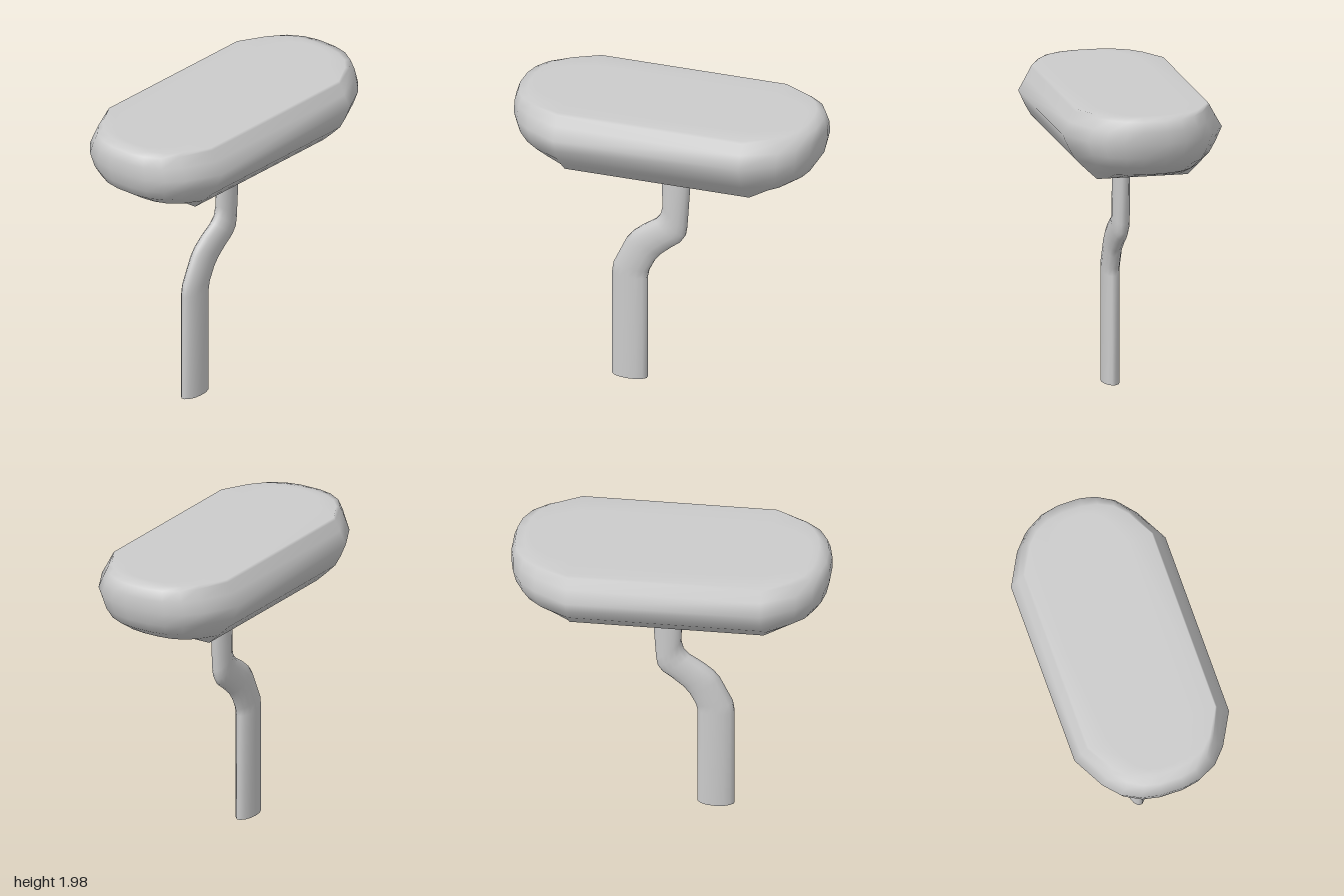
import * as THREE from 'three';

const material = new THREE.MeshStandardMaterial({ color: 0xcccccc });

// Skins rings stacked upwards (each ordered from +x towards +z) and closes both ends.
function loft(name, rings) {
  const n = rings[0].length;
  const points = rings.flat();
  const index = [];
  for (let l = 0; l < rings.length - 1; l++) {
    for (let i = 0; i < n; i++) {
      const a = l * n + i, b = l * n + (i + 1) % n;
      index.push(a, a + n, b, b, a + n, b + n);
    }
  }
  // End caps have their own vertices, so their rims stay sharp
  for (const [ring, up] of [[rings[0], false], [rings[rings.length - 1], true]]) {
    const centre = new THREE.Vector3();
    ring.forEach((p) => centre.addScaledVector(p, 1 / n));
    const start = points.length;
    points.push(...ring, centre);
    for (let i = 0; i < n; i++) {
      const a = start + i, b = start + (i + 1) % n;
      index.push(start + n, up ? b : a, up ? a : b);
    }
  }
  const geometry = new THREE.BufferGeometry().setFromPoints(points);
  geometry.setIndex(index);
  geometry.computeVertexNormals();
  const mesh = new THREE.Mesh(geometry, material);
  mesh.name = name;
  return mesh;
}

// Long outline with straight sides and rounded ends
function headRing([y, width, length]) {
  const straight = Math.min(0.61, length);
  const quarter = [[1, 0], [0.78, 0.54], [0.61, 0.79], [0.39, 0.94], [0.16, 1]]
    .map(([x, k]) => [x * width, straight + (length - straight) * k]);
  const half = [...quarter, ...quarter.map(([x, z]) => [-x, z]).reverse()];
  return [...half, ...half.map(([x, z]) => [-x, -z])]
    .map(([x, z]) => new THREE.Vector3(x, y, z));
}

// Elliptical section spanning a front and a back point
function stemRing([frontZ, frontY, backZ, backY]) {
  const sides = 14;
  return Array.from({ length: sides }, (_, i) => {
    const t = (i / sides) * Math.PI * 2;
    const k = (1 + Math.sin(t)) / 2;
    return new THREE.Vector3(
      0.055 * Math.cos(t),
      THREE.MathUtils.lerp(backY, frontY, k),
      THREE.MathUtils.lerp(backZ, frontZ, k)
    );
  });
}

export function createModel() {
  const group = new THREE.Group();

  // Head: height, half width, half length
  group.add(loft('head', [
    [1.525, 0.29, 0.61],
    [1.59, 0.36, 0.83],
    [1.66, 0.43, 0.935],
    [1.73, 0.47, 0.98],
    [1.82, 0.51, 1.0],
    [1.9, 0.465, 1.0],
    [1.965, 0.43, 0.98],
    [1.98, 0.42, 0.92],
    [1.98, 0.27, 0.88],
  ].map(headRing)));

  // Stem with an S-bend: front z, front y, back z, back y
  group.add(loft('stem', [
    [0.395, 0, 0.16, 0],
    [0.395, 0.71, 0.16, 0.7],
    [0.385, 0.78, 0.15, 0.75],
    [0.3, 0.96, 0.11, 0.83],
    [0.26, 1.01, 0.07, 0.88],
    [0.2, 1.06, 0, 0.94],
    [0.11, 1.12, -0.06, 0.985],
    [0.075, 1.16, -0.09, 1.03],
    [0.06, 1.22, -0.1, 1.09],
    [0.07, 1.53, -0.13, 1.53],
  ].map(stemRing)));

  // Thin collar where the stem meets the head
  const collar = new THREE.Mesh(new THREE.CylinderGeometry(0.18, 0.13, 0.015, 16), material);
  collar.name = 'collar';
  collar.scale.x = 0.6;
  collar.position.set(0, 1.52, -0.03);
  group.add(collar);

  return group;
}
